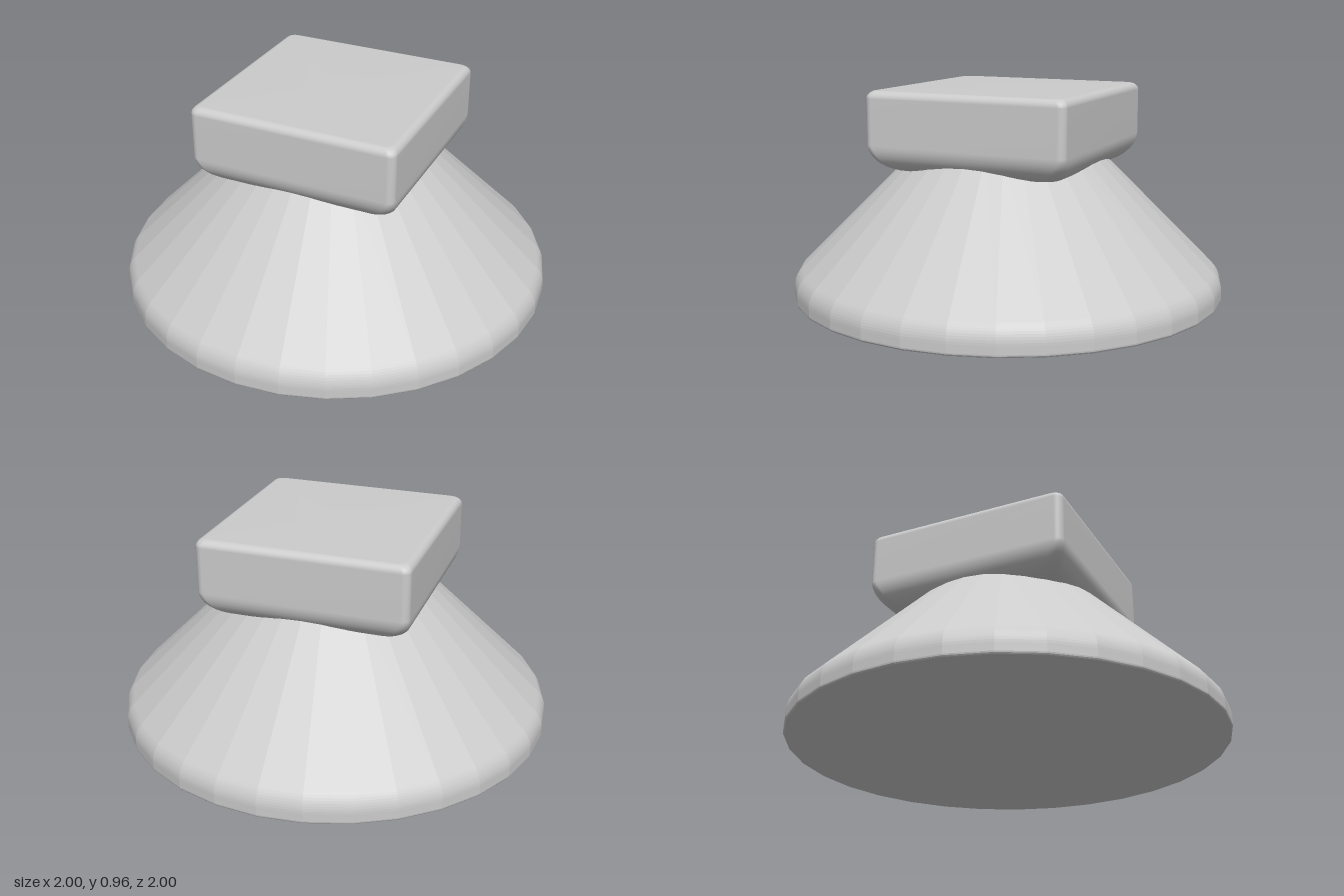
import * as THREE from 'three';

// Points of a circular arc in (radius, height), angles in degrees
function arc(cx, cy, r, from, to, steps) {
  return Array.from({ length: steps + 1 }, (_, i) => {
    const a = THREE.MathUtils.degToRad(from + ((to - from) * i) / steps);
    return [cx + r * Math.cos(a), cy + r * Math.sin(a)];
  });
}

// Outline of a square with rounded corners, in the xz plane
function roundedSquare(half, radius, steps) {
  const pts = [];
  const r = Math.min(half, radius);
  for (let c = 0; c < 4; c++) {
    const mid = Math.PI / 4 + (c * Math.PI) / 2;
    const cx = Math.sign(Math.cos(mid)) * (half - r);
    const cz = Math.sign(Math.sin(mid)) * (half - r);
    for (let i = 0; i <= steps; i++) {
      const a = (c + i / steps) * (Math.PI / 2);
      pts.push([cx + r * Math.cos(a), cz + r * Math.sin(a)]);
    }
  }
  return pts;
}

// Skin a stack of rounded squares, given as [half width, height]
function squareLoft(profile, cornerRadius) {
  const steps = 6;
  const n = 4 * (steps + 1);
  const positions = [];
  const index = [];
  profile.forEach(([half, y], k) => {
    for (const [x, z] of roundedSquare(half, cornerRadius(y), steps)) positions.push(x, y, z);
    if (k === 0) return;
    for (let i = 0; i < n; i++) {
      const a = (k - 1) * n + i;
      const b = (k - 1) * n + ((i + 1) % n);
      index.push(a, a + n, b, b, a + n, b + n);
    }
  });
  const geo = new THREE.BufferGeometry();
  geo.setAttribute('position', new THREE.Float32BufferAttribute(positions, 3));
  geo.setIndex(index);
  geo.computeVertexNormals();
  return geo;
}

export function createModel() {
  const group = new THREE.Group();

  // Faceted conical skirt, hollowed to a point underneath, with a rounded rim
  const skirtProfile = [
    [0, 0.39],
    ...arc(0.985, 0.015, 0.015, -90, 0, 4),
    ...arc(0.88, 0.051, 0.12, 0, 45, 8),
    [0.4, 0.7],
    [0, 0.7],
  ].map(([r, y]) => new THREE.Vector2(r, y));
  const skirt = new THREE.Mesh(
    new THREE.LatheGeometry(skirtProfile, 32),
    new THREE.MeshStandardMaterial({ color: 0xcccccc, flatShading: true })
  );
  skirt.name = 'conicalSkirt';
  group.add(skirt);

  // Square head: broad round along the bottom edge, small round along the top
  const headProfile = [
    [0, 0.6],
    ...arc(0.36, 0.72, 0.12, -90, 0, 10),
    ...arc(0.445, 0.93, 0.035, 0, 90, 6),
    [0, 0.965],
  ];
  const cornerRadius = (y) => 0.035 + 0.035 * THREE.MathUtils.clamp((0.72 - y) / 0.12, 0, 1);
  const head = new THREE.Mesh(
    squareLoft(headProfile, cornerRadius),
    new THREE.MeshStandardMaterial({ color: 0xcccccc })
  );
  head.name = 'squareHead';
  group.add(head);

  return group;
}
